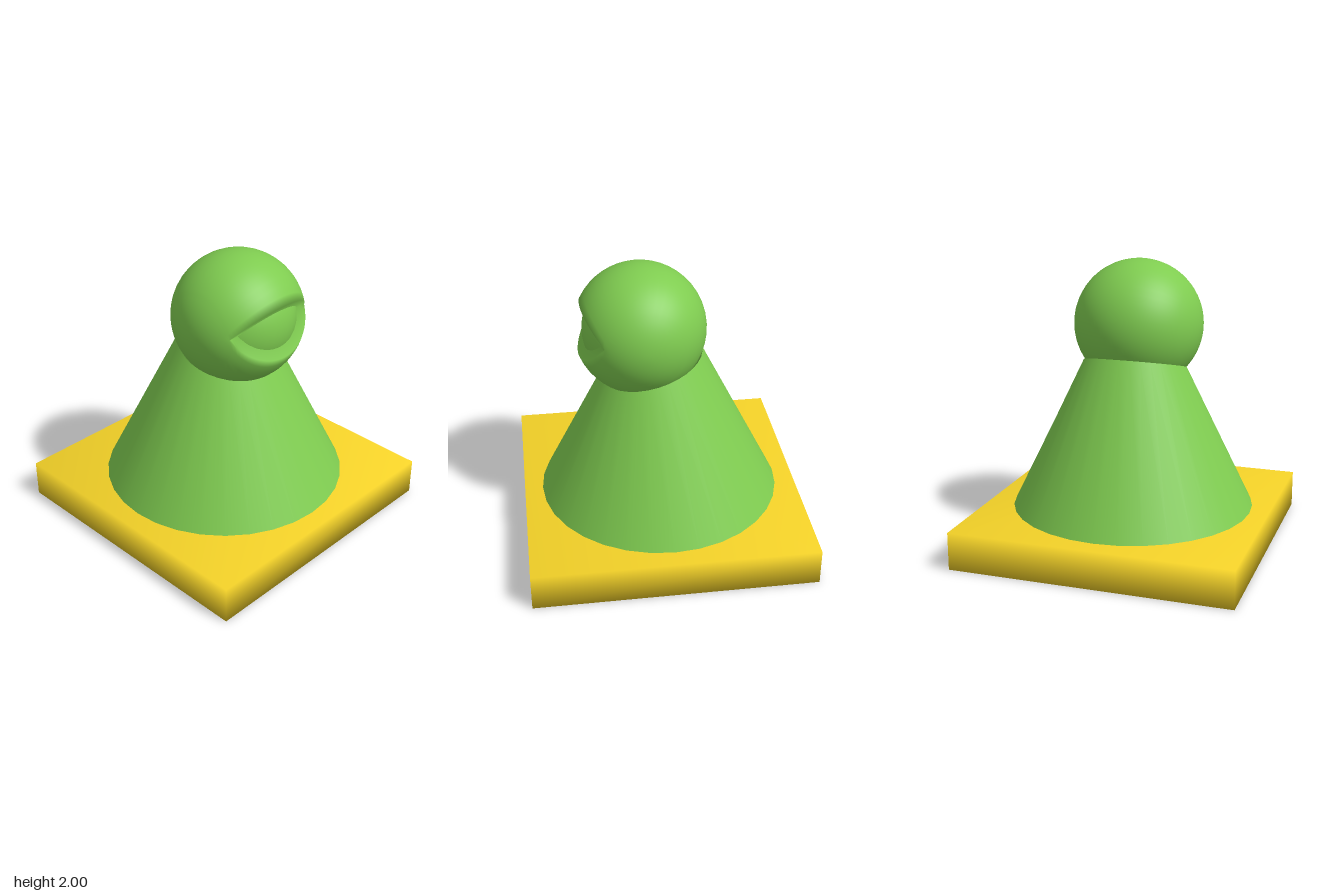
import * as THREE from 'three';
import { mergeVertices } from 'three/addons/utils/BufferGeometryUtils.js';

const green = new THREE.MeshStandardMaterial({ color: 0x7fcc50, side: THREE.DoubleSide });
const yellow = new THREE.MeshStandardMaterial({ color: 0xf5d328 });

// Share corners so that shading runs smoothly over them
function smooth(geometry) {
  geometry.deleteAttribute('normal');
  geometry.deleteAttribute('uv');
  const merged = mergeVertices(geometry, 1e-5);
  merged.computeVertexNormals();
  return merged;
}

// Skin a list of equally long rows of points
function skin(rows) {
  const n = rows[0].length;
  const index = [];
  for (let i = 0; i < rows.length - 1; i++) {
    for (let j = 0; j < n - 1; j++) {
      const a = i * n + j, b = a + n;
      index.push(a, b, a + 1, b, b + 1, a + 1);
    }
  }
  const geometry = new THREE.BufferGeometry().setFromPoints(rows.flat());
  geometry.setIndex(index);
  return smooth(geometry);
}

function add(group, name, geometry, material) {
  const mesh = new THREE.Mesh(geometry, material);
  mesh.name = name;
  group.add(mesh);
  return mesh;
}

const R = 0.455, CY = 1.545, CZ = 0.13;

// Ball with a wedge cut out of the front; the wedge faces form the eyelids
function headGeometry() {
  const apex = new THREE.Vector2(0.27, 0.045); // (z, y) from the head centre
  const upper = new THREE.Vector2(0.135, 0.16).normalize();
  const lower = new THREE.Vector2(0.16, -0.21).normalize();

  // Angle at which a wedge face meets the circle of radius rho
  const cutAngle = (dir, rho) => {
    const b = apex.dot(dir);
    const c = apex.lengthSq() - rho * rho;
    const t = c < 0 ? -b + Math.sqrt(b * b - c) : 0;
    return Math.atan2(apex.y + t * dir.y, apex.x + t * dir.x);
  };

  // Slices along x, one exactly at each eye corner
  const corner = Math.asin(apex.length() / R);
  const stops = [0, corner, Math.PI - corner, Math.PI];
  const counts = [8, 32, 8];
  const angles = [0];
  counts.forEach((n, s) => {
    for (let k = 1; k <= n; k++) angles.push(THREE.MathUtils.lerp(stops[s], stops[s + 1], k / n));
  });

  const rows = angles.map((a) => {
    const x = -R * Math.cos(a), rho = R * Math.sin(a);
    const start = cutAngle(upper, rho);
    const end = cutAngle(lower, rho) + Math.PI * 2;
    const inset = Math.min(1, rho / apex.length());
    const fold = new THREE.Vector3(x, CY + apex.y * inset, CZ + apex.x * inset);
    const row = [fold];
    for (let j = 0; j <= 40; j++) {
      const p = THREE.MathUtils.lerp(start, end, j / 40);
      row.push(new THREE.Vector3(x, CY + rho * Math.sin(p), CZ + rho * Math.cos(p)));
    }
    row.push(fold.clone());
    return row;
  });
  return skin(rows);
}

// Straight-sided robe from a round hem to the tilted neck ring
function robeGeometry() {
  const sides = 32, rows = [];
  for (let i = 0; i <= sides; i++) {
    const a = (i / sides) * Math.PI * 2;
    const s = Math.sin(a), c = Math.cos(a);
    rows.push([
      new THREE.Vector3(0.855 * s, 0.265, 0.855 * c),
      new THREE.Vector3(0.362 * s, 1.275 - 0.095 * c, 0.05 + 0.35 * c),
    ]);
  }
  return skin(rows);
}

export function createModel() {
  const model = new THREE.Group();
  model.name = 'figure';

  // Square plinth
  const base = add(model, 'base', smooth(new THREE.BoxGeometry(1.97, 0.265, 1.97)), yellow);
  base.position.y = 0.1325;

  add(model, 'robe', robeGeometry(), green);
  add(model, 'head', headGeometry(), green);

  // Eyeball showing between the lids
  const eye = add(model, 'eyeball', new THREE.SphereGeometry(0.395, 40, 28), green);
  eye.position.set(0, CY, CZ);

  return model;
}
